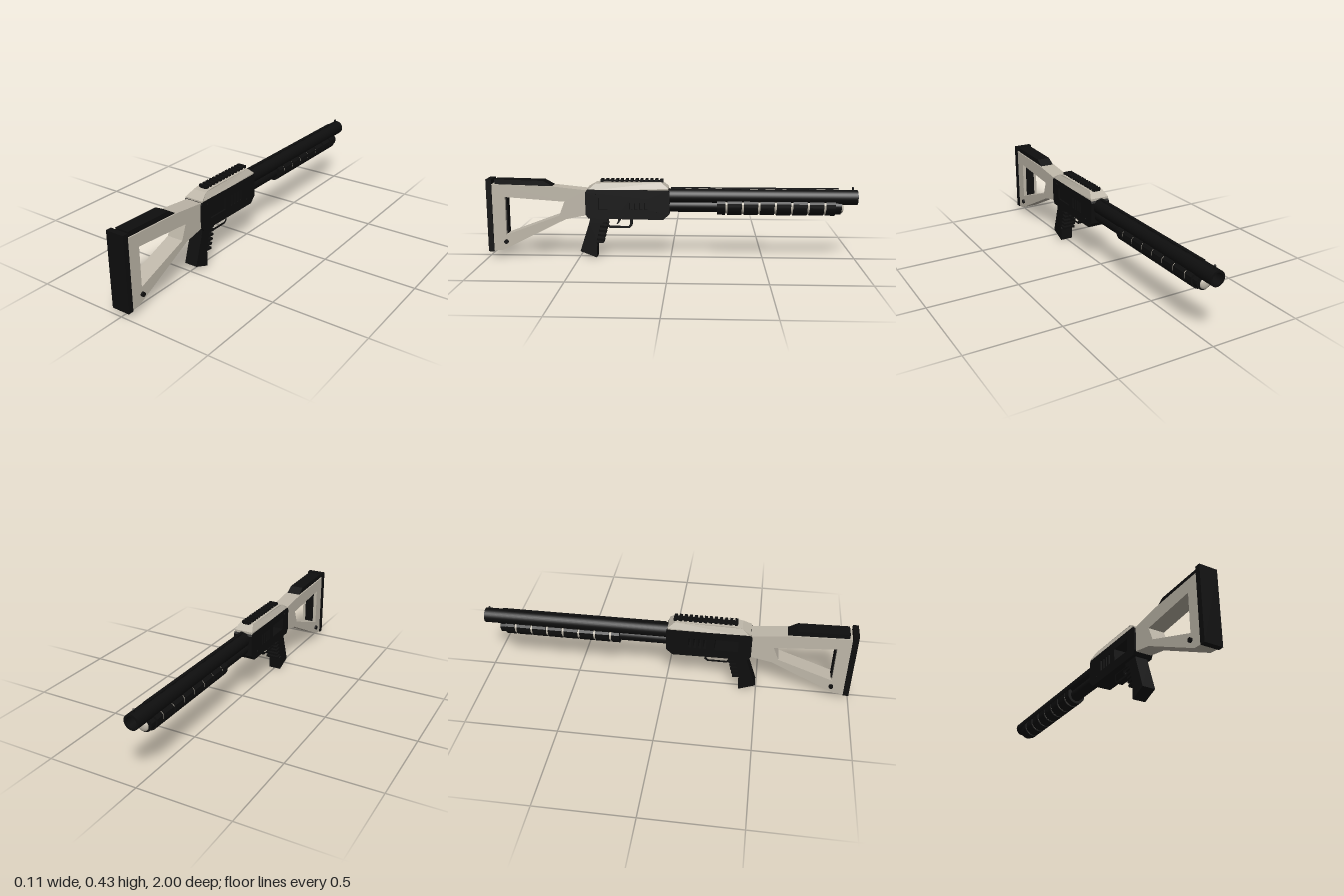
import * as THREE from 'three';

const black = new THREE.MeshStandardMaterial({ color: 0x0e0e0e });
black.name = 'matte black';
const beige = new THREE.MeshStandardMaterial({ color: 0xbeb7a9 });
beige.name = 'warm beige';

export function createModel() {
  const model = new THREE.Group();
  model.name = 'shotgun';

  const add = (name, geometry, material = black, x = 0, y = 0, z = 0) => {
    const mesh = new THREE.Mesh(geometry, material);
    mesh.name = name;
    mesh.position.set(x, y, z);
    model.add(mesh);
    return mesh;
  };
  const vec = (points) => points.map(([a, b]) => new THREE.Vector2(a, b));
  // Side profile in [z, y], extruded across x and centred
  const profile = (points, width, holes = []) => {
    const shape = new THREE.Shape(vec(points));
    for (const h of holes) shape.holes.push(new THREE.Path(vec(h)));
    return new THREE.ExtrudeGeometry(shape, { depth: width, bevelEnabled: false })
      .rotateY(-Math.PI / 2).translate(width / 2, 0, 0);
  };
  // Narrow the parts of a geometry above height y, leaving sloped flanks
  const narrowAbove = (geometry, y, factor) => {
    const p = geometry.attributes.position;
    for (let i = 0; i < p.count; i++) if (p.getY(i) > y) p.setX(i, p.getX(i) * factor);
    geometry.computeVertexNormals();
    return geometry;
  };
  const rect = (z0, z1, y0, y1) => [[z0, y0], [z1, y0], [z1, y1], [z0, y1]];
  const box = (name, w, h, d, y, z, material = black) =>
    add(name, new THREE.BoxGeometry(w, h, d), material, 0, y, z);
  const rodZ = (r, z0, z1, open = false) =>
    new THREE.CylinderGeometry(r, r, z1 - z0, 32, 1, open).rotateX(Math.PI / 2).translate(0, 0, (z0 + z1) / 2);

  // Skeleton stock, butt plate and cheek pad
  add('stock', profile(
    [[0.97, 0.035], [0.92, 0.04], [0.57, 0.215], [0.45, 0.24], [0.45, 0.375], [0.64, 0.395], [0.97, 0.405]],
    0.09,
    [[[0.9, 0.125], [0.9, 0.335], [0.575, 0.312], [0.605, 0.235]]]), beige);
  box('stockInnerPlate', 0.05, 0.2, 0.008, 0.23, 0.897);
  box('buttPlate', 0.1, 0.4, 0.03, 0.232, 0.985);
  add('cheekPad', profile([[0.955, 0.4], [0.955, 0.43], [0.69, 0.424], [0.64, 0.396], [0.66, 0.392]], 0.076));

  // Receiver with ejection window and vent slots
  const openings = [rect(0.265, 0.39, 0.27, 0.337)];
  for (let i = 0; i < 4; i++) openings.push(rect(0.125 + i * 0.027, 0.139 + i * 0.027, 0.273, 0.332));
  add('receiver', profile(
    [[0.445, 0.222], [0.46, 0.245], [0.46, 0.365], [0.45, 0.38], [0.015, 0.38], [0.005, 0.365],
      [0.005, 0.25], [0.04, 0.218]], 0.108, openings));
  // Closed panel on the left flank
  add('leftPanel', new THREE.PlaneGeometry(0.3, 0.085).rotateY(Math.PI / 2), black, 0.045, 0.303, 0.255);
  add('topCover', narrowAbove(profile(
    [[0.452, 0.372], [0.452, 0.385], [0.405, 0.413], [0.36, 0.42], [0.05, 0.42], [0.012, 0.388], [0.012, 0.372]],
    0.106), 0.4, 0.72), beige);

  // Accessory rail with teeth
  box('railBase', 0.036, 0.008, 0.34, 0.42, 0.21);
  for (let i = 0; i < 13; i++) box('railTooth', 0.05, 0.014, 0.015, 0.426, 0.05 + i * 0.0267);

  // Cross pins through receiver and stock
  const pin = (name, y, z, r, length) =>
    add(name, new THREE.CylinderGeometry(r, r, length, 12).rotateZ(Math.PI / 2), black, 0, y, z);
  for (const x of [-0.0535, 0.0535]) {
    for (const [y, z] of [[0.355, 0.41], [0.255, 0.075]]) pin('receiverPin', y, z, 0.006, 0.007).position.x = x;
    pin('stockBolt', 0.088, 0.9, 0.012, 0.02).position.x = x * 0.86;
  }

  // Grip with finger ridges along its front edge
  const grip = [[0.435, 0.23], [0.445, 0.19], [0.495, 0.035], [0.405, 0.0], [0.402, 0.075]];
  for (let i = 0; i < 5; i++) {
    const z = 0.392 - i * 0.006, y = 0.085 + i * 0.024;
    grip.push([z + 0.014, y], [z - 0.024, y - 0.004], [z - 0.026, y + 0.008], [z + 0.012, y + 0.013]);
  }
  grip.push([0.345, 0.2], [0.34, 0.23]);
  add('grip', profile(grip, 0.072));

  // Trigger guard and trigger
  add('triggerGuard', profile(
    [[0.35, 0.225], [0.35, 0.18], [0.335, 0.164], [0.225, 0.164], [0.21, 0.18], [0.21, 0.225]], 0.036,
    [[[0.338, 0.216], [0.338, 0.185], [0.33, 0.176], [0.23, 0.176], [0.222, 0.185], [0.222, 0.216]]]));
  add('trigger', profile(
    [[0.292, 0.22], [0.272, 0.22], [0.277, 0.2], [0.292, 0.182], [0.297, 0.187], [0.288, 0.203]], 0.014));

  // Barrel with hollow muzzle
  add('barrel', rodZ(0.04, -1, 0.02, true), black, 0, 0.34, 0);
  add('muzzleRim', new THREE.RingGeometry(0.029, 0.04, 32).rotateY(Math.PI), black, 0, 0.34, -1);
  const bore = rodZ(0.029, -1, -0.9, true);
  bore.scale(-1, 1, 1);
  add('bore', bore, black, 0, 0.34, 0);
  add('boreEnd', new THREE.CircleGeometry(0.029, 32).rotateY(Math.PI), black, 0, 0.34, -0.9);

  // Sighting rib on short posts, and front bead
  box('rib', 0.016, 0.005, 0.9, 0.386, -0.45);
  for (let i = 0; i < 10; i++) box('ribPost', 0.014, 0.01, 0.04, 0.38, -0.04 - i * 0.09);
  box('frontSightPost', 0.008, 0.014, 0.008, 0.384, -0.975);
  add('frontSightBead', new THREE.SphereGeometry(0.006, 12, 8), black, 0, 0.392, -0.975);

  // Magazine tube with domed cap
  add('magazineTube', rodZ(0.034, -0.915, 0.02), black, 0, 0.288, 0);
  add('magazineCap', new THREE.SphereGeometry(0.029, 24, 8, 0, Math.PI * 2, 0, Math.PI / 2)
    .scale(1, 0.5, 1).rotateX(-Math.PI / 2), beige, 0, 0.282, -0.915);

  // Pump fore-end: U-shaped segments over a paler core
  const cradle = (r, top, z0, z1) => {
    const s = new THREE.Shape();
    s.moveTo(r * 0.8, top);
    s.lineTo(-r * 0.8, top);
    s.lineTo(-r, top - 0.012);
    s.lineTo(-r, 0.292);
    s.absarc(0, 0.292, r, Math.PI, Math.PI * 2, false);
    s.lineTo(r, top - 0.012);
    s.closePath();
    return new THREE.ExtrudeGeometry(s, { depth: z1 - z0, bevelEnabled: false, curveSegments: 16 })
      .translate(0, 0, z0);
  };
  add('foreEndCore', cradle(0.046, 0.314, -0.87, -0.26), beige);
  const grooves = [-0.25];
  for (let i = 0; i < 7; i++) grooves.push(-0.3 - i * 0.0875);
  grooves.push(-0.88);
  for (let i = 0; i < 8; i++) {
    const back = grooves[i] - (i > 0 ? 0.006 : 0);
    const front = grooves[i + 1] + (i < 7 ? 0.006 : 0);
    add('foreEndSegment', cradle(0.052, 0.32, front, back));
  }
  add('foreEndCollar', cradle(0.044, 0.312, -0.912, -0.875));

  return model;
}
